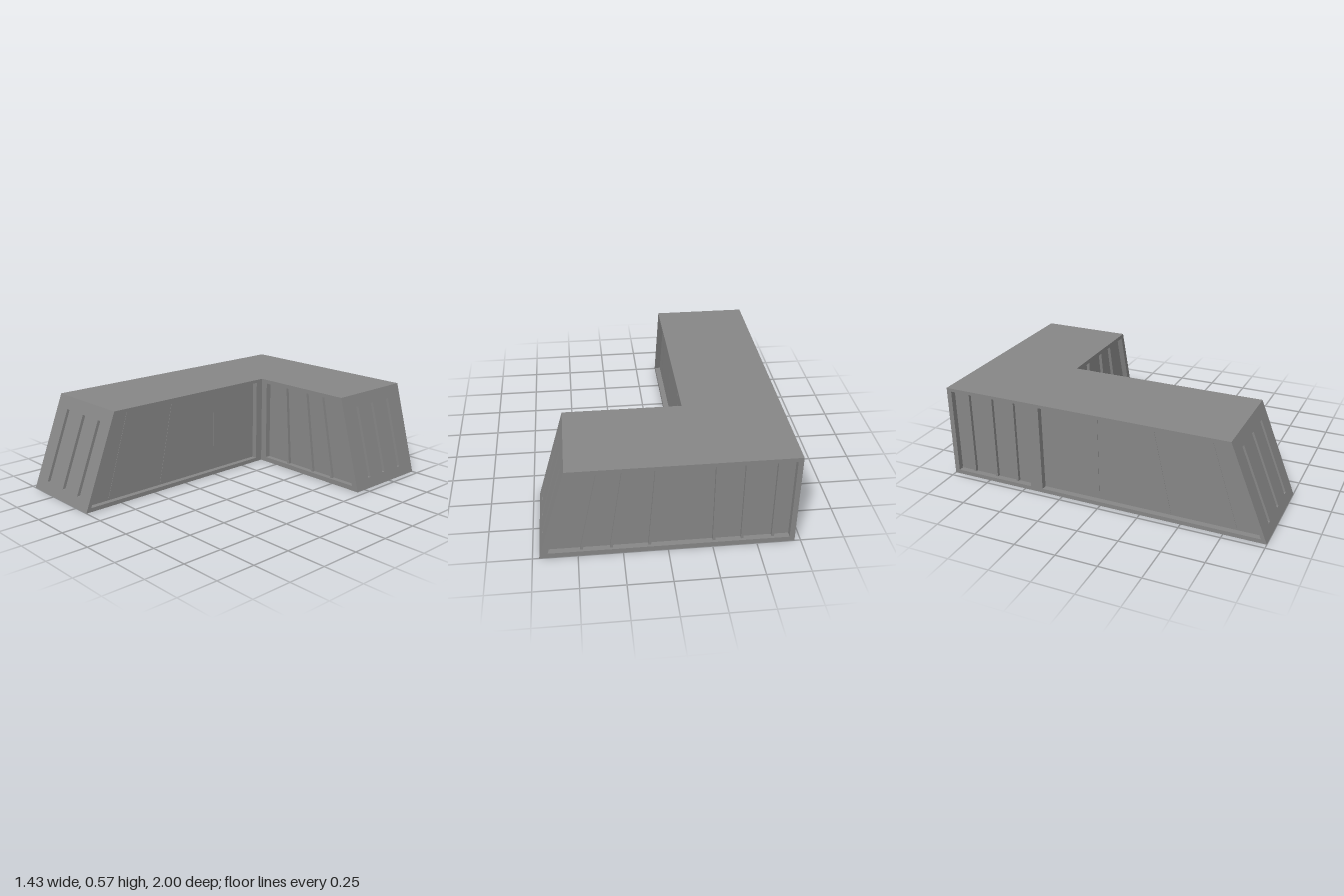
import * as THREE from 'three';

const V3 = (x, y, z) => new THREE.Vector3(x, y, z);
const H = 0.575, BACK = -1, LEFT = -0.715, INX = -0.14, INZ = -0.43;
const FRONT = [1, 0.775], RIGHT = [0.713, 0.55]; // sloped ends: bottom, top
const DEPTH = 0.035, SLOT = 0.02, RIB = 0.02, SEAM = 0.002;

const mat = new THREE.MeshStandardMaterial({ color: 0x868686, flatShading: true });

// quad between b0..b1 at height y0 and t0..t1 at height y1
const quad = (b0, b1, t0, t1, y0, y1) => [[b0, y0], [b1, y0], [t1, y1], [t0, y1]];
const strip = (bottom, top, w, y0, y1) =>
  quad(bottom - w / 2, bottom + w / 2, top - w / 2, top + w / 2, y0, y1);

// counter-clockwise 2D points, optionally mirrored
function ccw(poly, flip) {
  const pts = poly.map(([a, b]) => new THREE.Vector2(a * flip, b));
  return THREE.ShapeUtils.isClockWise(pts) ? pts.reverse() : pts;
}

// side walls of a recess, facing its inside
function wallGeometry(pts, depth) {
  const pos = [];
  pts.forEach((a, i) => {
    const b = pts[(i + 1) % pts.length];
    pos.push(a.x, a.y, 0, b.x, b.y, 0, b.x, b.y, -depth);
    pos.push(a.x, a.y, 0, b.x, b.y, -depth, a.x, a.y, -depth);
  });
  const g = new THREE.BufferGeometry();
  g.setAttribute('position', new THREE.Float32BufferAttribute(pos, 3));
  g.computeVertexNormals();
  return g;
}

// flat face spanned by u and v, with recesses cut along w; each recess may hold raised ribs
function face(name, origin, u, v, w, outline, recesses = [], flip = 1) {
  const group = new THREE.Group();
  group.name = name;
  const matrix = new THREE.Matrix4().makeBasis(u, v, w).setPosition(origin);
  const add = (part, geo, level = 0) => {
    const m = new THREE.Mesh(geo.translate(0, 0, level).applyMatrix4(matrix), mat);
    m.name = part;
    group.add(m);
  };
  const shape = new THREE.Shape(ccw(outline, flip));
  for (const { poly, depth, ribs = [], ribHeight = RIB } of recesses) {
    const pts = ccw(poly, flip);
    shape.holes.push(new THREE.Path(pts));
    add('recessWalls', wallGeometry(pts, depth));
    add('recessFloor', new THREE.ShapeGeometry(new THREE.Shape(pts)), -depth);
    for (const r of ribs) {
      const rib = new THREE.Shape(ccw(r, flip));
      add('rib', new THREE.ExtrudeGeometry(rib, { depth: ribHeight, bevelEnabled: false }), -depth);
    }
  }
  add('frame', new THREE.ShapeGeometry(shape));
  return group;
}

export function createModel() {
  const model = new THREE.Group();
  model.name = 'cornerCounter';
  const X = V3(1, 0, 0), Y = V3(0, 1, 0), Z = V3(0, 0, 1);
  const nX = V3(-1, 0, 0), nY = V3(0, -1, 0), nZ = V3(0, 0, -1);
  const slotX = [-0.592, -0.418, -0.258], slotZ = [-0.865, -0.708, -0.562];
  const y0 = 0.03, y1 = 0.55;

  // top and base
  const ell = (x, z) => [[LEFT, BACK], [x, BACK], [x, INZ], [INX, INZ], [INX, z], [LEFT, z]];
  model.add(face('top', V3(0, H, 0), X, nZ, Y, ell(RIGHT[1], FRONT[1]).map(([x, z]) => [x, -z])));
  model.add(face('base', V3(0, 0, 0), X, Z, nY, ell(RIGHT[0], FRONT[0])));

  // short wing: inner side and back, with leaning ribs
  const leaning = [[0.102, 0.065], [0.315, 0.241], [0.48, 0.374]].map(([b, t]) => strip(b, t, 0.015, y0, y1));
  const upright = slotX.map((x) => strip(x, x, 0.015, y0, y1));
  model.add(face('shortWingInnerSide', V3(0, 0, INZ), X, Y, Z,
    quad(INX, RIGHT[0], INX, RIGHT[1], 0, H),
    [{ poly: quad(-0.095, 0.665, -0.095, 0.525, y0, y1), depth: DEPTH, ribs: leaning }]));
  model.add(face('backSide', V3(0, 0, BACK), nX, Y, nZ,
    quad(LEFT, RIGHT[0], LEFT, RIGHT[1], 0, H),
    [{ poly: quad(LEFT + 0.03, 0.665, LEFT + 0.03, 0.525, y0, y1), depth: DEPTH, ribs: [...leaning, ...upright] }], -1));

  // long wing: inner and outer side, with hairline seams
  const seams = [[-0.02, -0.02], [0.43, 0.32], [0.82, 0.66]].map(([b, t]) => strip(b, t, 0.003, y0, y1));
  const longPanel = {
    poly: quad(-0.38, 0.965, -0.38, 0.755, 0.025, 0.555), depth: DEPTH, ribs: seams, ribHeight: SEAM,
  };
  model.add(face('longWingInnerSide', V3(INX, 0, 0), nZ, Y, X,
    quad(INZ, FRONT[0], INZ, FRONT[1], 0, H), [longPanel], -1));
  const cornerPanel = {
    poly: quad(-0.97, -0.46, -0.97, -0.46, 0.025, 0.555), depth: DEPTH,
    ribs: slotZ.map((z) => strip(z, z, 0.015, y0, y1)),
  };
  model.add(face('longWingOuterSide', V3(LEFT, 0, 0), Z, Y, nX,
    quad(BACK, FRONT[0], BACK, FRONT[1], 0, H), [longPanel, cornerPanel]));

  // sloped ends with three slots each, cut in horizontally
  const end = (name, origin, u, slope, inward, a, b, centres, flip) => {
    const len = slope.length(), k = len / H;
    const slots = centres.map((c) => ({ poly: strip(c, c, 0.026, 0.063 * k, 0.5 * k), depth: SLOT }));
    model.add(face(name, origin, u, slope.normalize(), inward, quad(a, b, a, b, 0, len), slots, flip));
  };
  end('frontEnd', V3(0, 0, FRONT[0]), X, V3(0, H, FRONT[1] - FRONT[0]), Z, LEFT, INX, slotX, 1);
  end('rightEnd', V3(RIGHT[0], 0, 0), nZ, V3(RIGHT[1] - RIGHT[0], H, 0), X, BACK, INZ, slotZ, -1);
  return model;
}
